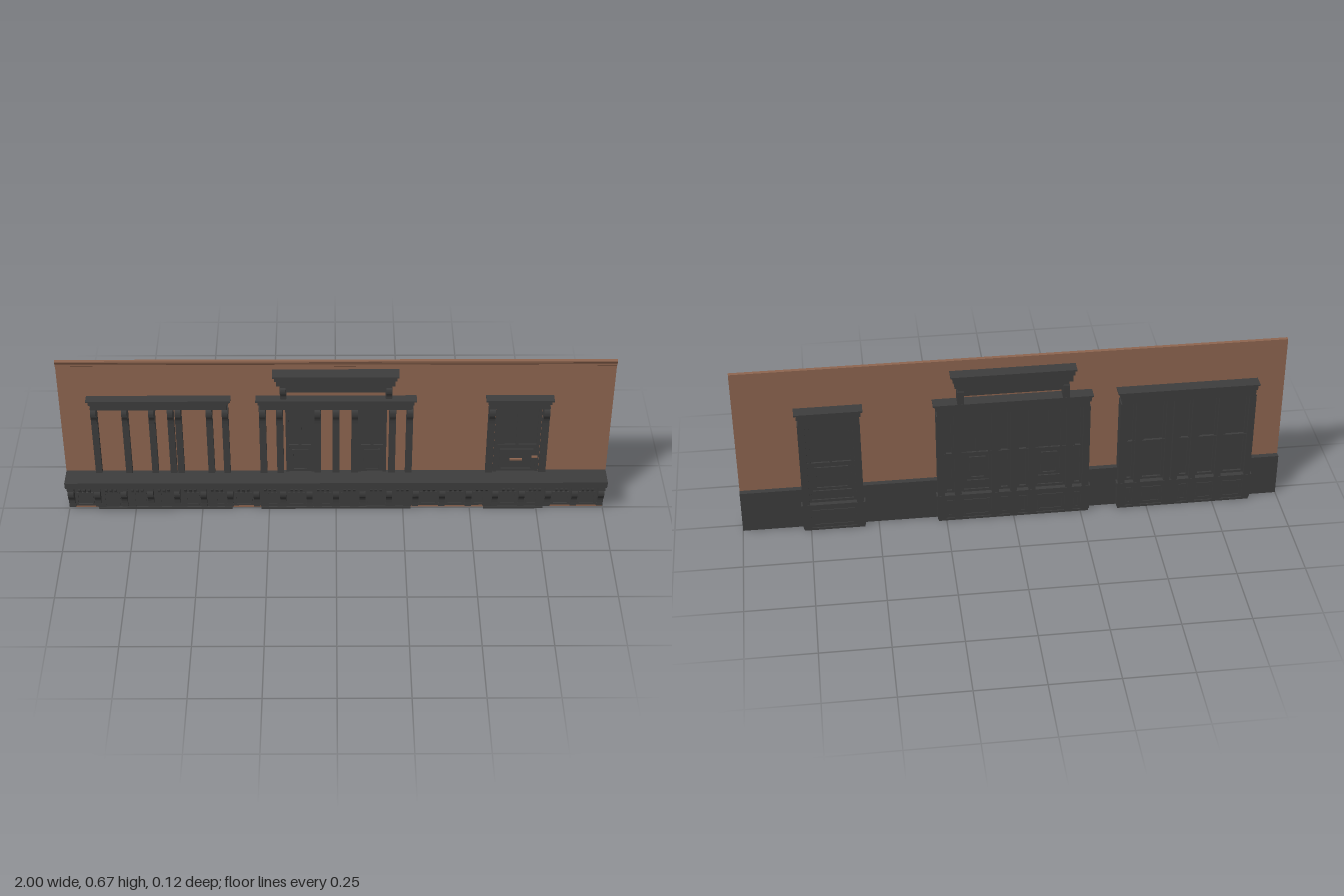
import * as THREE from 'three';

const dark = new THREE.MeshStandardMaterial({ color: 0x3d3d3d });
dark.name = 'charcoal joinery';
const brown = new THREE.MeshStandardMaterial({ color: 0x8f6650, side: THREE.DoubleSide });
brown.name = 'brown wall';

const add = (parent, name, geo, mat = dark) => {
  const m = new THREE.Mesh(geo, mat);
  m.name = name;
  parent.add(m);
  return m;
};

// Box given by its limits on each axis
const box = (parent, name, x0, x1, y0, y1, z0, z1, mat = dark) => {
  const g = new THREE.BoxGeometry(x1 - x0, y1 - y0, z1 - z0);
  g.translate((x0 + x1) / 2, (y0 + y1) / 2, (z0 + z1) / 2);
  return add(parent, name, g, mat);
};

// Open-ended strip: a (z, y) profile swept along x
function sweep(points, x0 = -1, x1 = 1) {
  const pos = [];
  for (let i = 0; i < points.length - 1; i++) {
    const [z0, y0] = points[i], [z1, y1] = points[i + 1];
    pos.push(x0, y0, z0, x1, y0, z0, x1, y1, z1, x0, y0, z0, x1, y1, z1, x0, y1, z1);
  }
  const g = new THREE.BufferGeometry();
  g.setAttribute('position', new THREE.Float32BufferAttribute(pos, 3));
  g.computeVertexNormals();
  return g;
}

// Scrolled console: bulging top, tapering foot, seen from the side
function consoleGeo(x, y0, y1, zBack, zFoot, zBulge, width) {
  const h = y1 - y0, d = zBulge - zFoot;
  const s = new THREE.Shape();
  s.moveTo(zBack, y0);
  s.lineTo(zFoot, y0);
  s.lineTo(zFoot, y0 + h * 0.15);
  s.lineTo(zFoot + d * 0.3, y0 + h * 0.18);
  s.lineTo(zFoot + d * 0.35, y0 + h * 0.35);
  s.bezierCurveTo(zFoot + d * 0.5, y0 + h * 0.55, zBulge, y0 + h * 0.55, zBulge, y0 + h * 0.78);
  s.quadraticCurveTo(zBulge, y0 + h * 0.95, zFoot + d * 0.6, y1);
  s.lineTo(zBack, y1);
  const g = new THREE.ExtrudeGeometry(s, { depth: width, bevelEnabled: false, curveSegments: 6 });
  g.translate(0, 0, -width / 2);
  g.rotateY(-Math.PI / 2);
  g.translate(x, 0, 0);
  return g;
}

// Rectangular frame of four bars
function frame(parent, name, x0, x1, y0, y1, z0, z1, t) {
  box(parent, name, x0, x0 + t, y0, y1, z0, z1);
  box(parent, name, x1 - t, x1, y0, y1, z0, z1);
  box(parent, name, x0 + t, x1 - t, y0, y0 + t, z0, z1);
  box(parent, name, x0 + t, x1 - t, y1 - t, y1, z0, z1);
}

// Stepped entablature
function head(parent, x0, x1, y0, y1, zFront) {
  const h = y1 - y0;
  box(parent, 'headFrieze', x0 + 0.014, x1 - 0.014, y0, y0 + h * 0.5, -0.062, zFront - 0.01);
  box(parent, 'headMoulding', x0 + 0.008, x1 - 0.008, y0 + h * 0.5, y0 + h * 0.88, -0.062, zFront - 0.006);
  box(parent, 'headCap', x0, x1, y0 + h * 0.88, y1, -0.0625, zFront);
}

// Panelled door leaf, seen on both faces
function doorLeaf(parent, x0, x1) {
  const mid = (x0 + x1) / 2;
  box(parent, 'doorLeaf', x0, x1, 0.113, 0.465, -0.045, -0.011);
  for (const [z0, z1] of [[-0.011, -0.006], [-0.05, -0.045]]) {
    frame(parent, 'doorFrame', x0, x1, 0.155, 0.465, z0, z1, 0.012);
    box(parent, 'doorLockRail', x0 + 0.012, x1 - 0.012, 0.28, 0.292, z0, z1);
    box(parent, 'doorMuntin', mid - 0.005, mid + 0.005, 0.292, 0.453, z0, z1);
    frame(parent, 'doorLowerPanel', x0 + 0.022, x1 - 0.022, 0.175, 0.27, z0, z1, 0.006);
  }
}

// Opening with columns, consoles, plinths, sill and glazing behind the wall
function opening(parent, name, x0, x1, columns, colWidth) {
  const g = new THREE.Group();
  g.name = name;
  parent.add(g);
  head(g, x0, x1, 0.465, 0.51, 0.022);
  const first = columns[0] - colWidth / 2, last = columns[columns.length - 1] + colWidth / 2;
  box(g, 'plinth', first, last, 0, 0.097, -0.058, 0.001);
  box(g, 'footStrip', first, last, 0, 0.009, -0.062, 0.007);
  box(g, 'sill', first - 0.006, last + 0.006, 0.097, 0.113, -0.0625, 0.007);
  box(g, 'backPanel', first, last, 0.113, 0.465, -0.042, -0.036);
  columns.forEach((c, i) => {
    const w = colWidth;
    box(g, 'column', c - w / 2, c + w / 2, 0.113, 0.465, -0.0615, 0);
    box(g, 'columnPlinth', c - w / 2 - 0.003, c + w / 2 + 0.003, 0.009, 0.097, -0.0622, 0.004);
    add(g, 'columnConsole', consoleGeo(c, 0.385, 0.465, -0.005, 0.002, 0.018, w * 0.85));
    if (i === columns.length - 1) return;
    // Sash bars and base panel in the bay
    const a = c + w / 2, b = columns[i + 1] - w / 2;
    if (b - a < 0.02) return;
    frame(g, 'sashFrame', a, b, 0.118, 0.465, -0.05, -0.042, 0.009);
    box(g, 'sashRail', a, b, 0.28, 0.293, -0.052, -0.042);
    frame(g, 'basePanel', a + 0.008, b - 0.008, 0.018, 0.088, -0.061, -0.058, 0.006);
  });
  return g;
}

export function createModel() {
  const model = new THREE.Group();
  model.name = 'shopfrontFacade';

  // Wall and its top moulding
  add(model, 'wall', sweep([[-0.015, 0.11], [-0.015, 0.667]]), brown);
  add(model, 'topMoulding', sweep([
    [-0.015, 0.638], [-0.011, 0.641], [-0.011, 0.648], [-0.008, 0.651],
    [-0.005, 0.66], [-0.003, 0.662], [-0.003, 0.668], [-0.015, 0.668],
  ]), brown);
  box(model, 'baseCore', -1, 1, 0, 0.11, -0.02, -0.005, brown);

  // Fascia cornice and the board behind it
  add(model, 'fasciaCornice', sweep([
    [-0.005, 0.113], [0.03, 0.113], [0.03, 0.12], [0.036, 0.122], [0.05, 0.137],
    [0.058, 0.139], [0.058, 0.143], [0.0625, 0.146], [0.0625, 0.167],
    [-0.035, 0.167], [-0.035, 0],
  ]));

  // Panelled frieze with brackets
  const frieze = new THREE.Group();
  frieze.name = 'bracketFrieze';
  model.add(frieze);
  box(frieze, 'friezeBoard', -1, 1, 0.011, 0.113, -0.005, -0.001);
  box(frieze, 'friezeTopRail', -1, 1, 0.1, 0.113, -0.001, 0.006);
  const count = 20, step = (2 - 0.026) / count;
  for (let i = 0; i <= count; i++) {
    const x = -0.987 + i * step;
    add(frieze, 'bracket', consoleGeo(x, 0.022, 0.102, -0.002, 0.009, 0.029, 0.022));
    box(frieze, 'bracketCap', x - 0.013, x + 0.013, 0.1, 0.113, -0.001, 0.027);
    box(frieze, 'bracketFoot', x - 0.012, x + 0.012, 0.011, 0.024, -0.001, 0.006);
    if (i === count) continue;
    frame(frieze, 'friezePanel', x + 0.018, x + step - 0.018, 0.018, 0.076, -0.001, 0.003, 0.005);
    for (const f of [0.32, 0.5, 0.68]) {
      add(frieze, 'smallBracket', consoleGeo(x + step * f, 0.076, 0.104, -0.002, 0.004, 0.016, 0.009));
    }
  }

  // Left-hand row of windows
  opening(model, 'windowRow', -0.9, -0.38,
    [-0.877, -0.765, -0.668, -0.6, -0.572, -0.46, -0.402], 0.024);

  // Central pair of doors with raised upper head
  const centre = opening(model, 'doubleEntrance', -0.29, 0.29,
    [-0.267, -0.205, -0.068, 0, 0.068, 0.205, 0.267], 0.025);
  for (const s of [-1, 1]) {
    doorLeaf(centre, s * 0.132 - 0.052, s * 0.132 + 0.052);
    box(centre, 'upperPost', s * 0.19 - 0.012, s * 0.19 + 0.012, 0.51, 0.562, -0.062, 0.006);
    add(centre, 'upperConsole', consoleGeo(s * 0.19, 0.5, 0.562, 0, 0.006, 0.018, 0.02));
  }
  box(centre, 'upperRail', -0.2, 0.2, 0.542, 0.58, -0.056, 0.012);
  head(centre, -0.228, 0.225, 0.578, 0.625, 0.035);

  // Single door on the right
  const single = opening(model, 'singleEntrance', 0.54, 0.785, [0.565, 0.762], 0.026);
  doorLeaf(single, 0.58, 0.747);
  box(single, 'letterPlate', 0.64, 0.685, 0.22, 0.229, -0.006, -0.002, brown);
  box(single, 'doorHandle', 0.72, 0.742, 0.234, 0.242, -0.006, 0.001, brown);

  return model;
}
